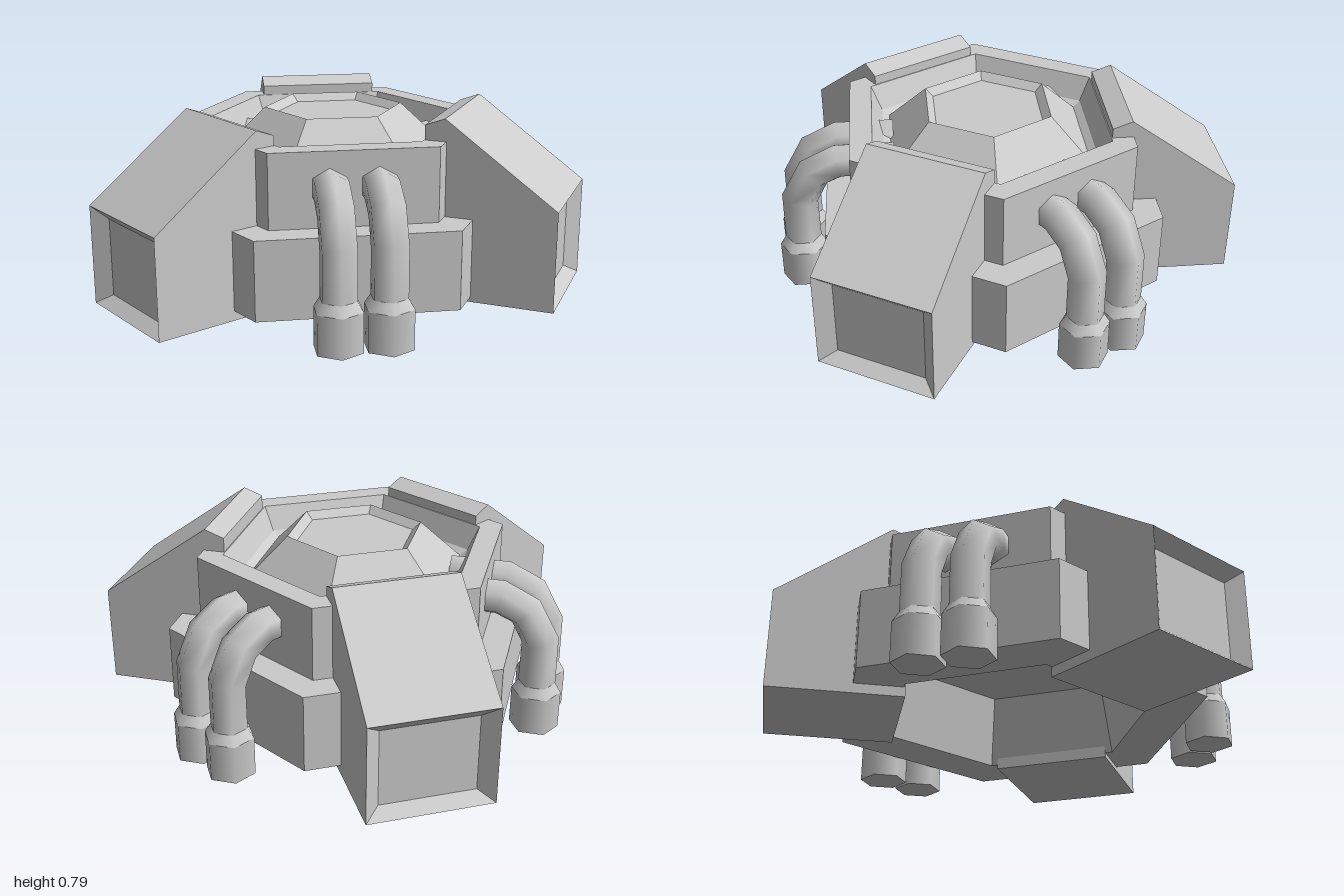
import * as THREE from 'three';

const flat = new THREE.MeshStandardMaterial({ color: 0xcccccc, flatShading: true });
const smooth = new THREE.MeshStandardMaterial({ color: 0xcccccc });

// Skin a list of equal-length rings (counter-clockwise around the travel direction), capped at both ends
function loft(rings) {
  const n = rings[0].length, pos = [], idx = [];
  rings.forEach(r => r.forEach(p => pos.push(...p)));
  for (let k = 0; k < rings.length - 1; k++) {
    for (let i = 0; i < n; i++) {
      const a = k * n + i, b = k * n + (i + 1) % n;
      idx.push(a, b, b + n, a, b + n, a + n);
    }
  }
  const cap = ring => {
    const s = pos.length / 3;
    ring.forEach(p => pos.push(...p));
    for (let i = 1; i < n - 1; i++) idx.push(s, s + i, s + i + 1);
  };
  cap([...rings[0]].reverse());
  cap(rings[rings.length - 1]);
  const g = new THREE.BufferGeometry();
  g.setAttribute('position', new THREE.Float32BufferAttribute(pos, 3));
  g.setIndex(idx);
  g.computeVertexNormals();
  return g;
}

function addMesh(parent, name, geometry, material) {
  const mesh = new THREE.Mesh(geometry, material);
  mesh.name = name;
  parent.add(mesh);
  return mesh;
}

// Buttress pod pointing along +x, with a bevelled recess in its outer end
function podGeometry() {
  const sections = [ // distance out, bottom, top, half width
    [0.48, 0.04, 0.74, 0.25],
    [0.56, 0.04, 0.77, 0.25],
    [1.01, 0.04, 0.445, 0.25],
    [0.96, 0.08, 0.395, 0.19],
  ];
  return loft(sections.map(([x, y0, y1, w]) =>
    [[x, y0, -w], [x, y1, -w], [x, y1, w], [x, y0, w]]));
}

// Six-sided pipe rising from its foot and bending inward
function pipeGeometry() {
  const path = [[0.79, 0.18], [0.79, 0.39], [0.725, 0.51], [0.62, 0.56], [0.39, 0.56]]
    .map(p => new THREE.Vector2(...p));
  const r = 0.075;
  return loft(path.map((p, k) => {
    const before = path[Math.max(k - 1, 0)], after = path[Math.min(k + 1, path.length - 1)];
    const d1 = p.clone().sub(before).normalize(), d2 = after.clone().sub(p).normalize();
    const t = d1.add(d2).normalize();
    return Array.from({ length: 6 }, (_, i) => {
      const a = i * Math.PI / 3, c = r * Math.cos(a);
      return [p.x - t.y * c, p.y + t.x * c, r * Math.sin(a)];
    });
  }));
}

export function createModel() {
  const model = new THREE.Group();
  model.name = 'hexagonalBase';
  const core = new THREE.Group();
  core.name = 'core';
  core.position.x = -0.06;
  model.add(core);

  // Stepped hexagonal body: hollow underside, rim, sunken channel and dome
  const profile = [
    [0, 0.38], [0.5, 0.38], [0.56, 0.08], [0.785, 0.08], [0.785, 0.4],
    [0.655, 0.4], [0.655, 0.7], [0.55, 0.7], [0.5, 0.6], [0.465, 0.58],
    [0.285, 0.75], [0.25, 0.72], [0, 0.72],
  ].map(p => new THREE.Vector2(...p));
  addMesh(core, 'body', new THREE.LatheGeometry(profile, 6), flat);

  // Three pods, the one on +x set slightly higher
  const podGeo = podGeometry();
  for (let i = 0; i < 3; i++) {
    const pod = addMesh(core, 'pod', podGeo, flat);
    pod.rotation.y = i * Math.PI * 2 / 3;
    pod.position.y = i === 0 ? 0.02 : 0;
  }

  // Pairs of pipes on the three walls between the pods
  const pipeGeo = pipeGeometry();
  const footGeo = new THREE.CylinderGeometry(0.1, 0.1, 0.16, 6, 1, false, Math.PI / 2);
  const collarGeo = new THREE.CylinderGeometry(0.075, 0.1, 0.04, 6, 1, true, Math.PI / 2);
  for (let i = 0; i < 3; i++) {
    const pair = new THREE.Group();
    pair.name = 'pipePair';
    pair.rotation.y = Math.PI / 3 + i * Math.PI * 2 / 3;
    core.add(pair);
    for (const side of [-1, 1]) {
      const z = side * 0.095;
      addMesh(pair, 'pipe', pipeGeo, smooth).position.z = z;
      addMesh(pair, 'pipeFoot', footGeo, smooth).position.set(0.79, 0.08, z);
      addMesh(pair, 'pipeCollar', collarGeo, smooth).position.set(0.79, 0.18, z);
    }
  }
  return model;
}
